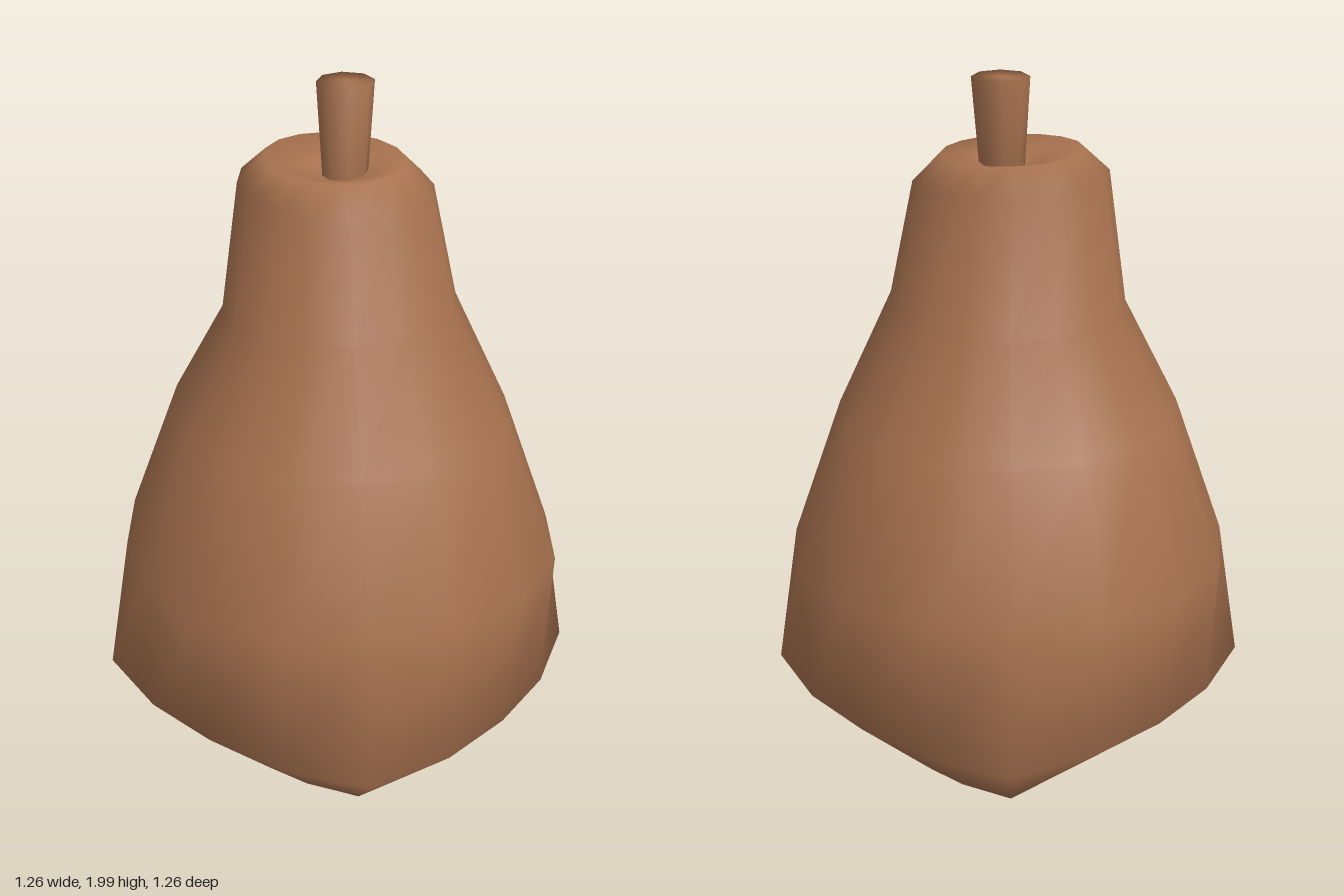
import * as THREE from 'three';

// Smooth closed skin through rings of points, with a centre point closing each end (bottom to top).
function loft(rings, sides, bottom, top, material, name) {
  const points = [bottom, ...rings.flat(), top];
  const index = [];
  const at = (r, i) => 1 + r * sides + (i % sides);
  const last = points.length - 1;
  for (let i = 0; i < sides; i++) {
    index.push(0, at(0, i), at(0, i + 1));
    for (let r = 0; r < rings.length - 1; r++) {
      const a = at(r, i), b = at(r, i + 1), c = at(r + 1, i), d = at(r + 1, i + 1);
      index.push(a, c, b, b, c, d);
    }
    index.push(last, at(rings.length - 1, i + 1), at(rings.length - 1, i));
  }
  const geometry = new THREE.BufferGeometry();
  geometry.setAttribute('position', new THREE.Float32BufferAttribute(points.flat(), 3));
  geometry.setIndex(index);
  geometry.computeVertexNormals();
  const mesh = new THREE.Mesh(geometry, material);
  mesh.name = name;
  return mesh;
}

export function createModel() {
  const model = new THREE.Group();
  model.name = 'pear';
  const brown = new THREE.MeshStandardMaterial({ color: 0xa8724f });
  brown.name = 'warm brown';

  // Rows: height, radius on the axes, between, and on the diagonals, z shift, rise towards the back
  const rows = [
    [0.03, 0.32, 0.355, 0.44, 0, 0],
    [0.27, 0.585, 0.61, 0.675, 0, 0.01],
    [0.68, 0.63, 0.63, 0.61, 0, 0],
    [1.08, 0.48, 0.48, 0.47, 0, 0],
    [1.39, 0.32, 0.32, 0.32, 0, -0.02],
    [1.73, 0.255, 0.262, 0.262, -0.01, 0.02],
    [1.8, 0.19, 0.19, 0.19, -0.015, 0.01],
    [1.77, 0.09, 0.09, 0.09, 0, 0],
  ];
  const sides = 16;
  const rings = rows.map(([y, axis, between, diagonal, shift, rise], row) =>
    Array.from({ length: sides }, (_, i) => {
      const a = (i / sides) * Math.PI * 2;
      const r = [axis, between, diagonal, between][i % 4];
      // The base touches the ground at its left and right
      const base = row === 0 ? 0.005 - 0.027 * Math.cos(2 * a) + 0.018 * (1 - Math.cos(4 * a)) * 0.5 : 0;
      return [r * Math.cos(a), y + base - rise * Math.sin(a), r * Math.sin(a) + shift];
    }));
  model.add(loft(rings, sides, [0, 0.02, 0], [0, 1.74, 0], brown, 'pearBody'));

  // Leaning stem, widening towards its top
  const stemRing = (x, y, z, r) => Array.from({ length: 8 }, (_, i) => {
    const a = (i / 8) * Math.PI * 2;
    return [x + r * Math.cos(a), y, z + r * Math.sin(a)];
  });
  const stemRings = [stemRing(0.01, 1.7, 0.012, 0.057), stemRing(0.037, 2, -0.008, 0.077)];
  model.add(loft(stemRings, 8, [0.01, 1.7, 0.012], [0.037, 2, -0.008], brown, 'stem'));
  return model;
}
